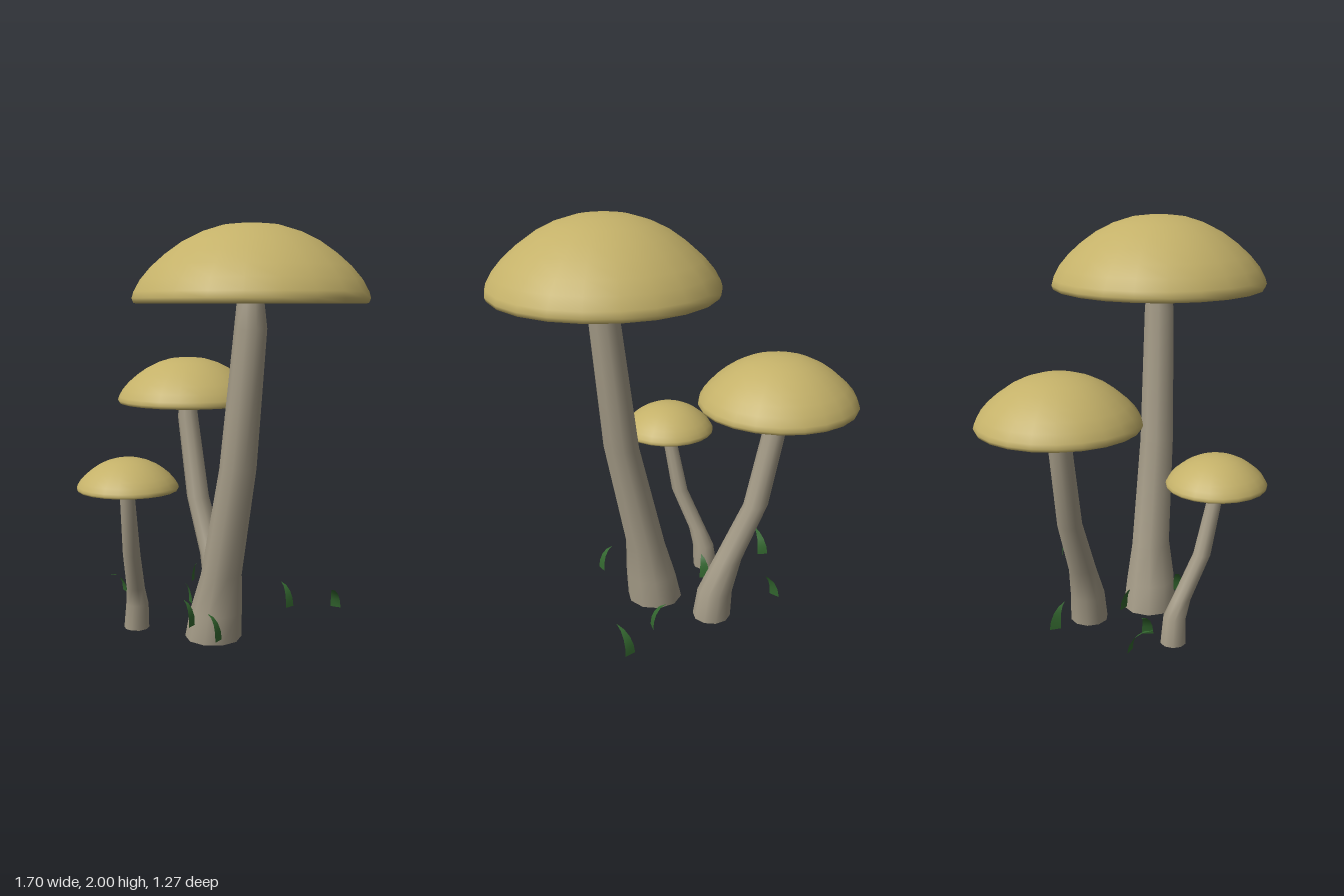
import * as THREE from 'three';
import { mergeVertices } from 'three/addons/utils/BufferGeometryUtils.js';

const mat = (name, color, side = THREE.FrontSide) => {
  const m = new THREE.MeshStandardMaterial({ color, side });
  m.name = name;
  return m;
};

const lathe = (pts, sides) =>
  new THREE.LatheGeometry(pts.map(([r, y]) => new THREE.Vector2(r, y)), sides);

// Unit cap profiles: radius 1, height 1
const DOME = [[0.96, 0.005], [0.985, 0.015], [1, 0.07], [0.985, 0.15], [0.93, 0.3], [0.84, 0.46],
  [0.72, 0.62], [0.58, 0.77], [0.42, 0.89], [0.25, 0.97], [0.1, 0.995], [0, 1]];
const DISH = [[0.19, 0.19], [0.5, 0.16], [0.85, 0.09], [0.96, 0.005]];
const RECESS = [[0, 0.34], [0.19, 0.34], [0.19, 0.19]];

// Thin triangular fins hanging under the cap
function gillGeometry(count) {
  const pos = [];
  for (let i = 0; i < count; i++) {
    const a = (i / count) * Math.PI * 2;
    const end = i % 2 ? 0.68 : 0.84;
    for (const [r, y] of [[0.2, 0.2], [0.24, 0.05], [end, 0.11]])
      pos.push(r * Math.sin(a), y, r * Math.cos(a));
  }
  const g = new THREE.BufferGeometry();
  g.setAttribute('position', new THREE.Float32BufferAttribute(pos, 3));
  g.computeVertexNormals();
  return g;
}

// Open tube from horizontal rings [x, y, z, radius], listed bottom to top
function stemGeometry(rings) {
  const sides = 10;
  const g = new THREE.CylinderGeometry(1, 1, 1, sides, rings.length - 1, true);
  const p = g.attributes.position;
  for (let i = 0; i < p.count; i++) {
    const [x, y, z, r] = rings[rings.length - 1 - Math.floor(i / (sides + 1))];
    p.setXYZ(i, x + p.getX(i) * r, y, z + p.getZ(i) * r);
  }
  g.deleteAttribute('uv');
  g.deleteAttribute('normal');
  const merged = mergeVertices(g, 1e-5);
  merged.computeVertexNormals();
  return merged;
}

// Tapered blade that bends toward (dx, dz); its width runs across the given angle
function bladeGeometry(dx, dz, height, angle) {
  const rows = 5, pos = [], index = [];
  for (let i = 0; i < rows; i++) {
    const t = i / (rows - 1), w = 0.027 * (1 - t ** 1.5) + 0.0005;
    const wx = Math.cos(angle) * w, wz = Math.sin(angle) * w;
    const x = dx * t * t, z = dz * t * t, y = height * Math.sin(t * Math.PI / 2 * 0.9);
    pos.push(x - wx, y, z - wz, x + wx, y, z + wz);
    if (i) {
      const k = (i - 1) * 2;
      index.push(k, k + 1, k + 2, k + 1, k + 3, k + 2);
    }
  }
  const g = new THREE.BufferGeometry();
  g.setAttribute('position', new THREE.Float32BufferAttribute(pos, 3));
  g.setIndex(index);
  g.computeVertexNormals();
  return g;
}

export function createModel() {
  const capMat = mat('capYellow', 0xc4b169);
  const stemMat = mat('stemGrey', 0xa39a86, THREE.DoubleSide);
  const gillMat = mat('gillGrey', 0x8a8272, THREE.DoubleSide);
  const grassMat = mat('grassGreen', 0x33672f, THREE.DoubleSide);
  const model = new THREE.Group();
  model.name = 'mushroomCluster';

  const add = (parent, name, geometry, material) => {
    const m = new THREE.Mesh(geometry, material);
    m.name = name;
    parent.add(m);
    return m;
  };

  // cap: [x, base y, z, radius, height]
  const mushrooms = [
    { name: 'largeMushroom', cap: [0.31, 1.64, -0.037, 0.54, 0.36],
      stem: [[0.08, 0, 0.002, 0.14], [0.1, 0.14, 0, 0.128], [0.13, 0.33, -0.01, 0.1], [0.245, 0.87, -0.02, 0.088],
        [0.315, 1.53, -0.035, 0.076], [0.31, 1.68, -0.037, 0.06]] },
    { name: 'mediumMushroom', cap: [-0.477, 1.108, -0.227, 0.38, 0.247],
      stem: [[-0.17, 0, -0.235, 0.095], [-0.185, 0.14, -0.235, 0.087], [-0.25, 0.31, -0.232, 0.068],
        [-0.385, 0.6, -0.23, 0.06], [-0.475, 1.03, -0.227, 0.055], [-0.478, 1.14, -0.227, 0.045]] },
    { name: 'smallMushroom', cap: [-0.07, 0.768, 0.396, 0.242, 0.152],
      stem: [[-0.25, 0, 0.248, 0.064], [-0.238, 0.13, 0.25, 0.057], [-0.21, 0.22, 0.275, 0.046],
        [-0.125, 0.43, 0.348, 0.043], [-0.075, 0.73, 0.397, 0.036], [-0.07, 0.79, 0.397, 0.03]] },
  ];

  for (const { name, cap: [x, y, z, r, h], stem } of mushrooms) {
    const group = new THREE.Group();
    group.name = name;
    add(group, 'stem', stemGeometry(stem), stemMat);
    const cap = new THREE.Group();
    cap.name = 'cap';
    cap.position.set(x, y, z);
    cap.scale.set(r, h, r);
    add(cap, 'dome', lathe(DOME, 22), capMat);
    add(cap, 'stemRecess', lathe(RECESS, 22), capMat);
    add(cap, 'underside', lathe(DISH, 22), gillMat);
    add(cap, 'gills', gillGeometry(26), gillMat);
    group.add(cap);
    model.add(group);
  }

  // Grass: [x, z, bend x, bend z, width angle]
  const grass = new THREE.Group();
  grass.name = 'grass';
  const blades = [
    [-0.55, 0.14, 0.02, 0.11, 0.1],
    [-0.49, -0.27, 0.07, 0.02, 0.9],
    [-0.37, 0.16, -0.08, 0, 1.2],
    [-0.18, -0.04, 0.01, 0.05, 0.3],
    [0.11, 0.15, -0.06, 0.01, 1.2],
    [0.34, 0.16, -0.06, 0.02, 1.2],
    [0.17, -0.42, -0.07, 0, 1.5],
    [0.305, -0.615, 0.05, 0.08, -0.5],
  ];
  for (const [x, z, dx, dz, angle] of blades)
    add(grass, 'grassBlade', bladeGeometry(dx, dz, 0.12, angle), grassMat).position.set(x, 0.09, z);
  model.add(grass);
  return model;
}
